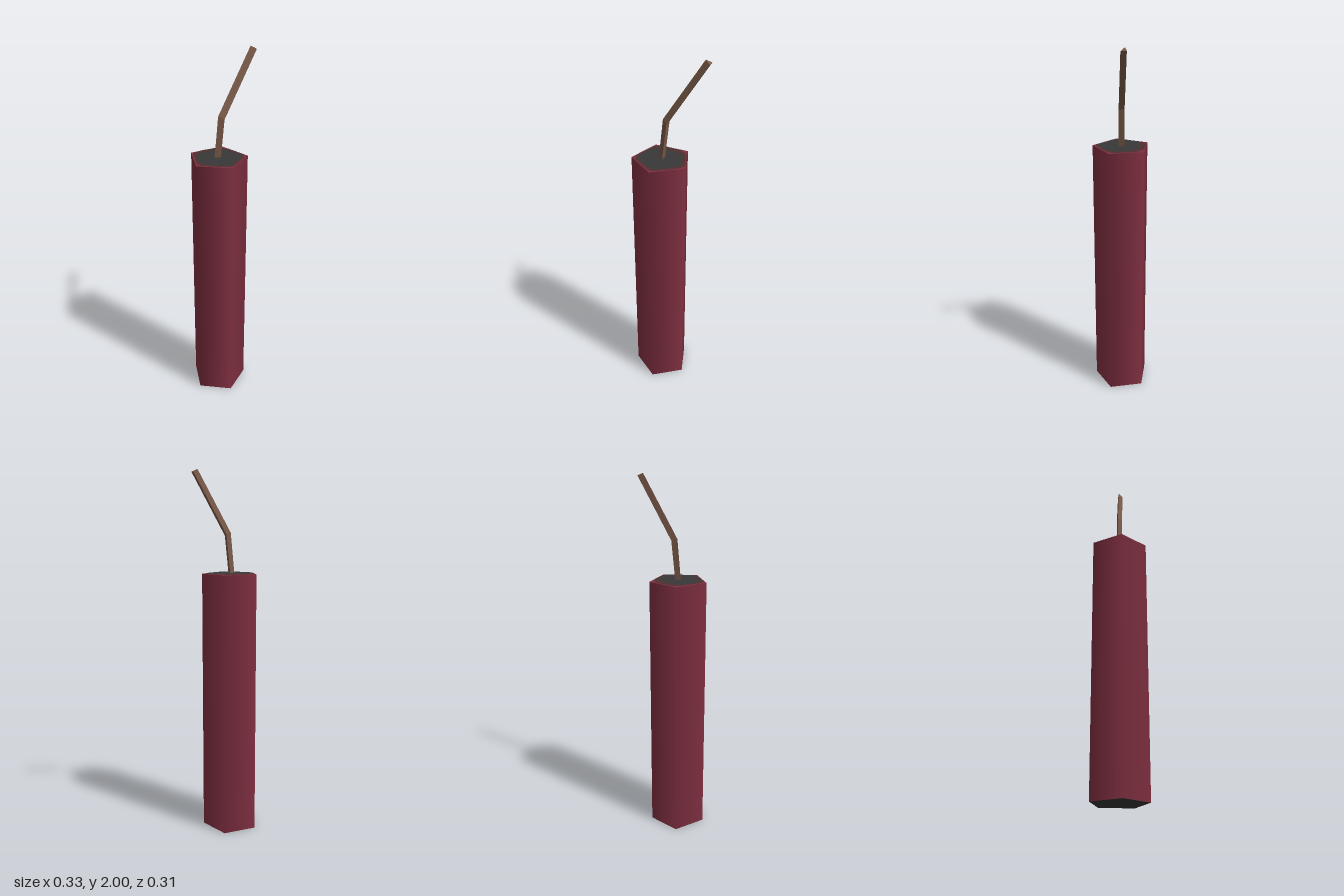
import * as THREE from 'three';

const mat = (name, color, side = THREE.FrontSide) => {
  const m = new THREE.MeshStandardMaterial({ color, side });
  m.name = name;
  return m;
};

// Thin painted patch lying flat at height y; outline given as [x, z]
function patch(name, points, y, material) {
  const shape = new THREE.Shape(points.map(([x, z]) => new THREE.Vector2(x, -z)));
  const mesh = new THREE.Mesh(new THREE.ShapeGeometry(shape).rotateX(-Math.PI / 2), material);
  mesh.position.y = y;
  mesh.name = name;
  return mesh;
}

// Faceted tube through triangular cross-sections, with its far end capped
function triangularTube(sections) {
  const pos = [];
  for (let s = 0; s < sections.length - 1; s++) {
    const lo = sections[s], hi = sections[s + 1];
    for (let i = 0; i < 3; i++) {
      const j = (i + 1) % 3;
      pos.push(...lo[i], ...lo[j], ...hi[j], ...lo[i], ...hi[j], ...hi[i]);
    }
  }
  pos.push(...sections.at(-1).flat());
  const g = new THREE.BufferGeometry();
  g.setAttribute('position', new THREE.Float32BufferAttribute(pos, 3));
  g.computeVertexNormals();
  return g;
}

export function createModel() {
  const group = new THREE.Group();
  const red = mat('wrapper red', 0x7f2f40);
  const brown = mat('scorched brown', 0x4f3030);
  const grey = mat('powder grey', 0x383838);
  const cord = mat('cord brown', 0x7a5a48);
  const height = 1.455;

  // Five-sided stick with smooth sides
  const body = new THREE.Mesh(
    new THREE.CylinderGeometry(0.159, 0.159, height, 5).rotateY(Math.PI),
    [red, red, grey]
  );
  body.position.set(-0.013, height / 2, 0.027);
  body.name = 'stick';
  group.add(body);

  // Scorched ring and powder core on the top
  group.add(patch('scorchedRing', [
    [-0.15, 0], [-0.14, -0.03], [-0.11, -0.06], [-0.04, -0.104], [0.02, -0.105],
    [0.115, -0.035], [0.125, 0], [0.108, 0.06], [0.078, 0.14], [0.05, 0.151],
    [-0.075, 0.151], [-0.106, 0.13], [-0.135, 0.045]
  ], height + 0.002, brown));
  group.add(patch('powderCore', [
    [-0.13, 0.02], [-0.117, -0.01], [-0.09, -0.036], [-0.02, -0.075], [0.03, -0.075],
    [0.1, -0.022], [0.11, 0.01], [0.085, 0.085], [0.065, 0.132], [0, 0.138],
    [-0.08, 0.135], [-0.1, 0.11], [-0.12, 0.055]
  ], height + 0.004, grey));

  // Bent three-sided fuse
  const fuse = new THREE.Mesh(triangularTube([
    [[-0.03, 1.45, 0.036], [0.003, 1.45, 0.036], [-0.013, 1.45, 0.009]],
    [[-0.013, 1.675, 0.02], [0.02, 1.66, 0.019], [0.004, 1.665, -0.009]],
    [[0.13, 2.0, -0.13], [0.162, 1.985, -0.13], [0.146, 1.987, -0.157]]
  ]), cord);
  fuse.name = 'fuse';
  group.add(fuse);

  return group;
}
